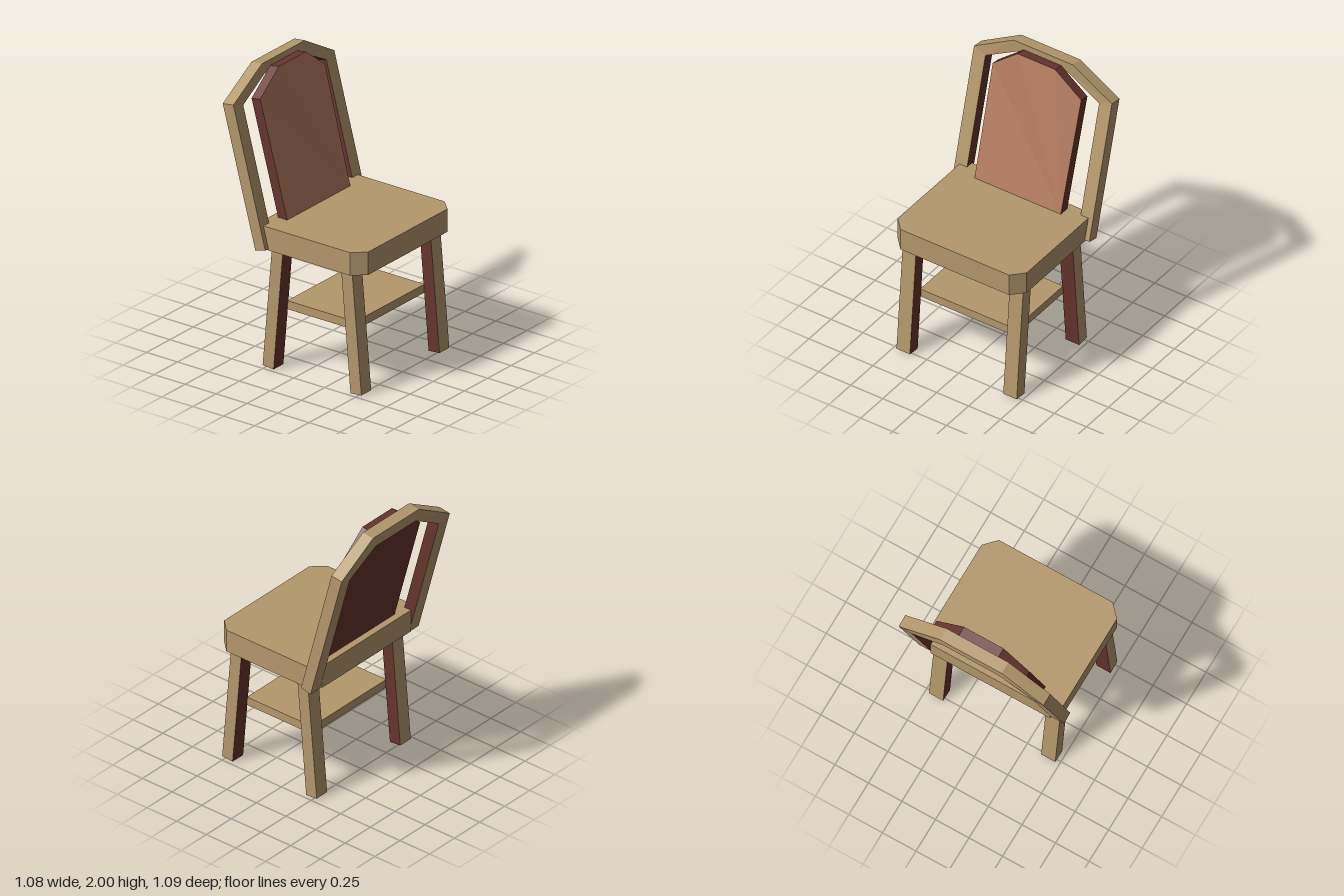
import * as THREE from 'three';

const paint = (name, color) => {
  const m = new THREE.MeshStandardMaterial({ color });
  m.name = name;
  return m;
};

// Flat-faced solid between two matching rings (counter-clockwise seen from outside ring a).
// sides: one material index per edge; caps: indices for a and b, or null for none.
function prism(a, b, sides, caps, mats) {
  const pos = [], geo = new THREE.BufferGeometry();
  const face = (pts, m) => {
    const start = pos.length / 3;
    for (let i = 1; i < pts.length - 1; i++) pos.push(...pts[0], ...pts[i], ...pts[i + 1]);
    geo.addGroup(start, pos.length / 3 - start, m);
  };
  a.forEach((p, i) => {
    const j = (i + 1) % a.length;
    face([p, b[i], b[j], a[j]], sides[i]);
  });
  if (caps[0] !== null) face(a, caps[0]);
  if (caps[1] !== null) face([b[0], ...b.slice(1).reverse()], caps[1]);
  geo.setAttribute('position', new THREE.Float32BufferAttribute(pos, 3));
  geo.computeVertexNormals();
  return new THREE.Mesh(geo, mats);
}

export function createModel() {
  const wood = paint('wood', 0xb4986c);
  const maroon = paint('maroon', 0x68352f);
  const leather = paint('leather', 0xb47c60);
  const mats = [wood, maroon, leather];
  const WOOD = 0, MAROON = 1, LEATHER = 2;
  const chair = new THREE.Group();
  chair.name = 'chair';
  const add = (mesh, name, parent = chair) => {
    mesh.name = name;
    parent.add(mesh);
    return mesh;
  };

  // Seat: clipped front corners, notched at the back for the posts
  const plan = [[0.425, 0.545], [0.505, 0.46], [0.505, -0.24], [0.445, -0.24], [0.445, -0.295],
    [-0.445, -0.295], [-0.445, -0.24], [-0.505, -0.24], [-0.505, 0.46], [-0.425, 0.545]];
  const level = (y) => plan.map(([x, z]) => [x, y, z]);
  add(prism(level(1.012), level(0.85), plan.map(() => WOOD), [WOOD, MAROON], mats), 'seat');

  // Splayed legs, dark on the faces that look inwards
  const legGeo = new THREE.BoxGeometry(0.105, 0.89, 0.088).translate(0, 0.445, 0);
  for (const sx of [1, -1]) {
    for (const front of [true, false]) {
      const leg = new THREE.Mesh(legGeo, [
        sx > 0 ? wood : maroon, sx > 0 ? maroon : wood, wood, maroon,
        front ? wood : maroon, front ? maroon : wood]);
      leg.position.set(sx * 0.418, 0.004, front ? 0.48 : -0.229);
      leg.rotation.x = front ? -0.088 : 0.088;
      add(leg, (front ? 'front' : 'back') + (sx > 0 ? 'LeftLeg' : 'RightLeg'));
    }
  }

  // Shelf between the legs
  const shelf = new THREE.Mesh(new THREE.BoxGeometry(0.74, 0.06, 0.55),
    [wood, wood, wood, maroon, wood, wood]);
  shelf.position.set(0, 0.43, 0.125);
  add(shelf, 'shelf');

  // Back frame: sections run up one post, over the arch and down the other
  // (each section: outer front, inner front, inner back, outer back)
  const half = [
    [[0.54, 0.86, -0.2], [0.445, 0.86, -0.2], [0.445, 0.84, -0.28], [0.54, 0.84, -0.28]],
    [[0.54, 1.82, -0.457], [0.445, 1.788, -0.449], [0.445, 1.768, -0.53], [0.54, 1.808, -0.543]],
    [[0.23, 2, -0.46], [0.2, 1.922, -0.46], [0.2, 1.915, -0.543], [0.23, 1.99, -0.545]]];
  const mirrored = half.map((s) => s.map(([x, y, z]) => [-x, y, z])).reverse();
  const stations = [...half, ...mirrored];
  const names = ['leftPost', 'leftShoulder', 'topRail', 'rightShoulder', 'rightPost'];
  const frame = new THREE.Group();
  frame.name = 'backFrame';
  chair.add(frame);
  names.forEach((name, i) => {
    const caps = [i === 0 ? MAROON : null, i === 4 ? MAROON : null];
    add(prism(stations[i], stations[i + 1], [WOOD, MAROON, WOOD, WOOD], caps, mats), name, frame);
  });

  // Upholstered back panel, its shoulders set slightly back
  const panelFront = [[0.335, 1, -0.17], [0.348, 1.81, -0.387], [0.145, 1.972, -0.385],
    [-0.15, 1.972, -0.385], [-0.345, 1.81, -0.387], [-0.34, 1, -0.17]];
  const panelBack = panelFront.map(([x, y, z]) => [x, y - 0.012, z - 0.07]);
  add(prism(panelFront, panelBack, panelFront.map(() => MAROON), [LEATHER, MAROON], mats), 'backPanel');

  return chair;
}
